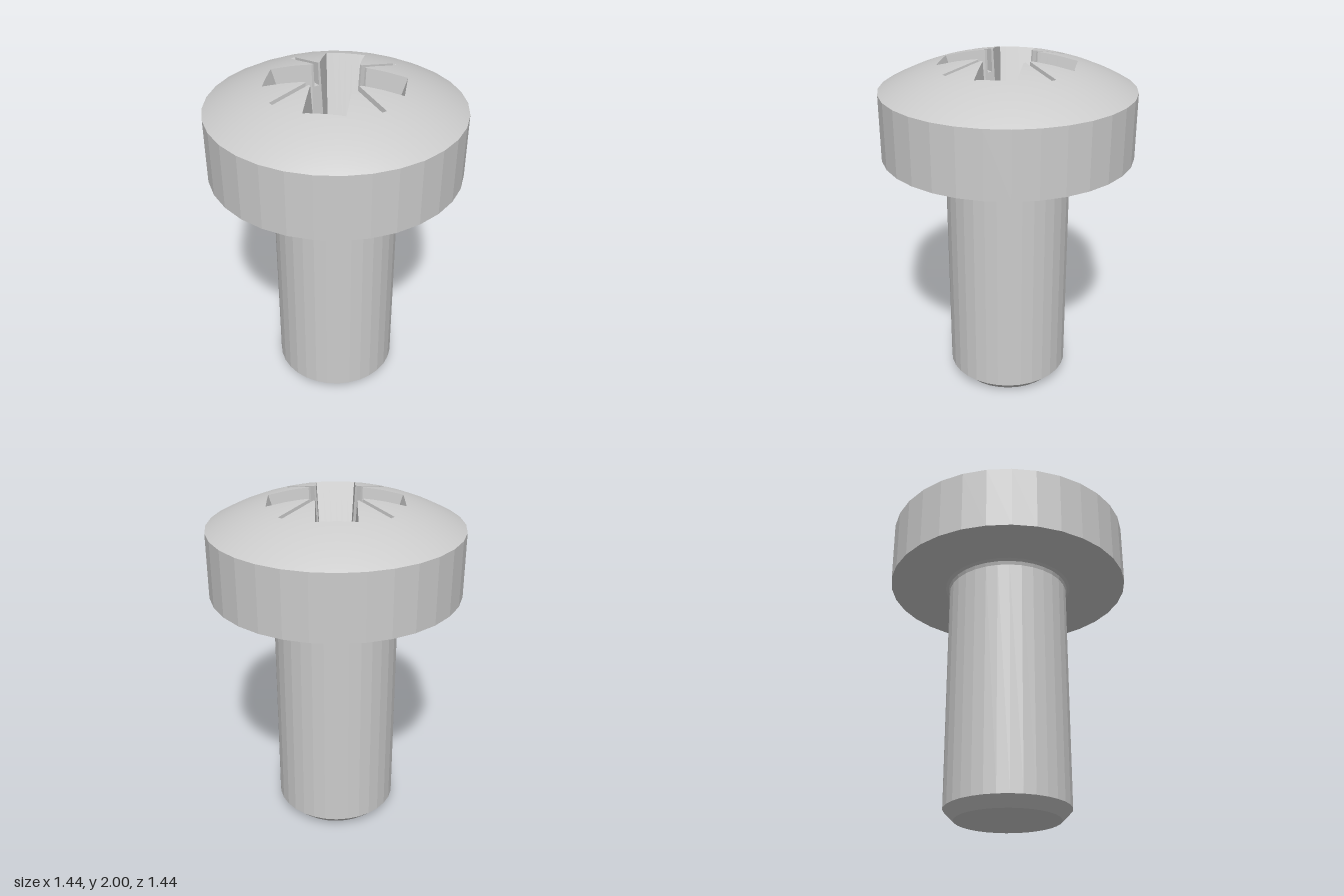
import * as THREE from 'three';

const SIDES = 32, STEP = (2 * Math.PI) / SIDES;
const RIM_R = 0.72, RIM_Y = 1.82, TOP_Y = 2.012;
const FLOOR_Y = 1.56, TIP_Y = 1.48, TICK_Y = 1.87, CORE_R = 0.16;

// Ratio of the 32-sided outline to its circle at an angle
const facet = (a) => {
  const m = ((a % STEP) + STEP) % STEP;
  return Math.cos(STEP / 2) / Math.cos(m - STEP / 2);
};

// Height of the domed top over (x, z)
const H = TOP_Y - RIM_Y, DOME_R = (RIM_R * RIM_R + H * H) / (2 * H);
function domePoint(x, z) {
  const r = Math.hypot(x, z) / facet(Math.atan2(z, x));
  return new THREE.Vector3(x, TOP_Y - DOME_R + Math.sqrt(DOME_R * DOME_R - r * r), z);
}

const quad = (out, a, b, c, d) => out.push(a, b, c, a, c, d);

function toMesh(name, points, flat) {
  const g = new THREE.BufferGeometry().setFromPoints(points);
  g.computeVertexNormals();
  const m = new THREE.Mesh(g, new THREE.MeshStandardMaterial({
    color: 0xcccccc, flatShading: flat, side: THREE.DoubleSide,
  }));
  m.name = name;
  return m;
}

// Split an edge where the facet rays cross it
function splitEdge(p, q) {
  const a0 = Math.atan2(p[1], p[0]), a1 = Math.atan2(q[1], q[0]), s = STEP / 2;
  const ts = [0];
  for (let k = Math.floor(a0 / s) + 1; k * s < a1 - 1e-6; k++) {
    const c = Math.cos(k * s), n = Math.sin(k * s);
    const d0 = p[1] * c - p[0] * n, d1 = q[1] * c - q[0] * n;
    const t = d0 / (d0 - d1);
    if (t > 1e-4 && t < 0.9999) ts.push(t);
  }
  return [...ts, 1];
}

const mix = (p, q, t) => [p[0] + (q[0] - p[0]) * t, p[1] + (q[1] - p[1]) * t];
const swap = ([x, z]) => [z, x];

export function createModel() {
  const group = new THREE.Group();

  // Shank with chamfered tip, fillet under the head, and head wall
  const profile = [[0, 0], [0.3, 0], [0.36, 0.06], [0.36, 1.415], [0.367, 1.435],
    [0.385, 1.445], [RIM_R, 1.445], [RIM_R, RIM_Y]];
  const body = new THREE.Mesh(
    new THREE.LatheGeometry(profile.map(([x, y]) => new THREE.Vector2(x, y)), SIDES),
    new THREE.MeshStandardMaterial({ color: 0xcccccc, flatShading: true }));
  body.name = 'shankAndHeadWall';
  group.add(body);

  // Corners of one quarter of the recess, at the top and at the floor
  const arm = [0.375, 0.11], armLow = [0.25, 0.085];
  const inner = [0.15, 0.11], innerLow = [0.135, 0.085];
  const mouth = [0.1406, 0.1194], mouthLow = [0.1206, 0.0994];
  const tick = [0.3, 0.279], tickLow = [0.265, 0.244];

  const dome = [], normals = [], walls = [], ticks = [];

  // Strip of dome from an outline edge out to the rim
  function domeStrip(p, q, turn) {
    const ts = splitEdge(p, q), rings = 8;
    const at = (pt, j) => {
      const r = Math.hypot(pt[0], pt[1]), a = Math.atan2(pt[1], pt[0]);
      const s = (r + (RIM_R * facet(a) - r) * (j / rings)) / r;
      return turn(domePoint(pt[0] * s, pt[1] * s));
    };
    for (let i = 0; i + 1 < ts.length; i++) {
      const a = mix(p, q, ts[i]), b = mix(p, q, ts[i + 1]);
      for (let j = 0; j < rings; j++) quad(dome, at(a, j), at(b, j), at(b, j + 1), at(a, j + 1));
    }
  }

  // Recess wall below an edge, then floor and central cone
  function coreWall(p, q, pl, ql, turn, top = domePoint) {
    const ts = splitEdge(p, q);
    const low = (pt, y, k = 1) => turn(new THREE.Vector3(pt[0] * k, y, pt[1] * k));
    const ring = (pt) => Math.min(1, CORE_R / Math.hypot(pt[0], pt[1]));
    for (let i = 0; i + 1 < ts.length; i++) {
      const a = mix(p, q, ts[i]), b = mix(p, q, ts[i + 1]);
      const al = mix(pl, ql, ts[i]), bl = mix(pl, ql, ts[i + 1]);
      const af = low(al, FLOOR_Y), bf = low(bl, FLOOR_Y);
      const ar = low(al, FLOOR_Y, ring(al)), br = low(bl, FLOOR_Y, ring(bl));
      quad(walls, turn(top(...a)), af, bf, turn(top(...b)));
      quad(walls, ar, br, bf, af);
      walls.push(low([0, 0], TIP_Y), br, ar);
    }
  }

  for (let k = 0; k < 4; k++) {
    const turn = (v) => v.applyAxisAngle(new THREE.Vector3(0, 1, 0), (k * Math.PI) / 2);

    // Cross arm end, arm sides and corner faces
    const mirror = ([x, z]) => [x, -z];
    const edges = [
      [mirror(arm), arm, mirror(armLow), armLow],
      [arm, inner, armLow, innerLow],
      [inner, mouth, innerLow, mouthLow],
      [swap(mouth), swap(inner), swap(mouthLow), swap(innerLow)],
      [swap(inner), swap(arm), swap(innerLow), swap(armLow)],
    ];
    for (const [p, q, pl, ql] of edges) {
      domeStrip(p, q, turn);
      coreWall(p, q, pl, ql, turn);
    }

    // Diagonal tick groove opening into the corner face
    const topY = domePoint(...mouth).y;
    const cut = mix(mouth, mouthLow, (topY - TICK_Y) / (topY - FLOOR_Y));
    const path = [mouth, tick, swap(tick), swap(mouth)];
    const base = [cut, tickLow, swap(tickLow), swap(cut)];
    const floor = ([x, z]) => turn(new THREE.Vector3(x, TICK_Y, z));
    for (let i = 0; i < 3; i++) {
      domeStrip(path[i], path[i + 1], turn);
      quad(ticks, turn(domePoint(...path[i])), floor(base[i]), floor(base[i + 1]),
        turn(domePoint(...path[i + 1])));
    }
    quad(ticks, floor(base[0]), floor(base[3]), floor(base[2]), floor(base[1]));
    coreWall(cut, swap(cut), mouthLow, swap(mouthLow), turn,
      (x, z) => new THREE.Vector3(x, TICK_Y, z));
  }

  // Domed top with smooth normals
  const domeMesh = toMesh('domedHeadTop', dome, false);
  for (const v of dome) {
    const n = new THREE.Vector3(v.x, v.y - TOP_Y + DOME_R, v.z).normalize();
    normals.push(n.x, n.y, n.z);
  }
  domeMesh.geometry.setAttribute('normal', new THREE.Float32BufferAttribute(normals, 3));
  group.add(domeMesh, toMesh('crossRecess', walls, true), toMesh('tickGrooves', ticks, true));
  return group;
}
